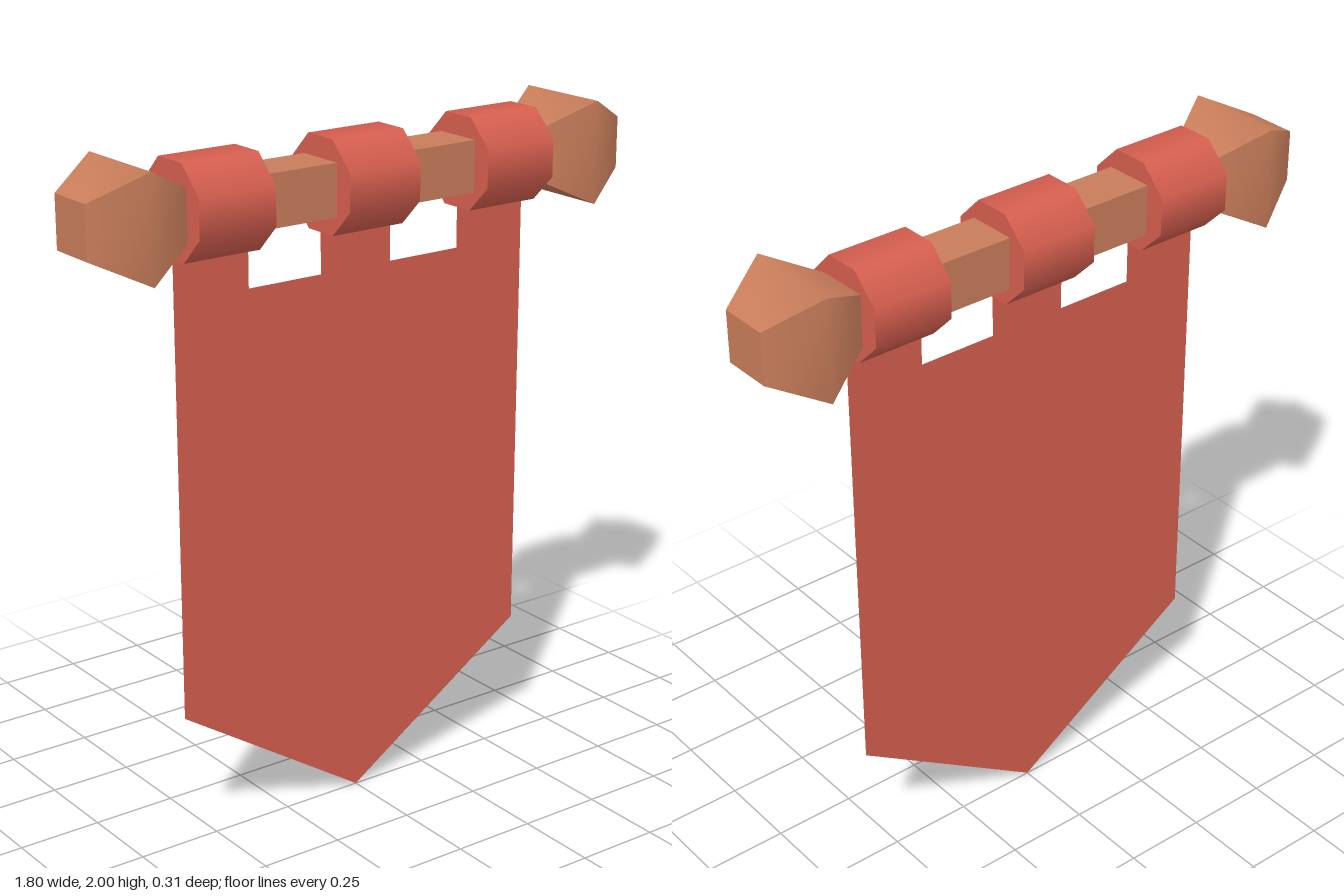
import * as THREE from 'three';
import { toCreasedNormals } from 'three/addons/utils/BufferGeometryUtils.js';

const POLE_Y = 1.85;

export function createModel() {
  const group = new THREE.Group();
  group.name = 'hangingBanner';

  const cloth = new THREE.MeshStandardMaterial({ color: 0xd65f4f, side: THREE.DoubleSide });
  cloth.name = 'red cloth';
  const wood = new THREE.MeshStandardMaterial({ color: 0xc87d5a });
  wood.name = 'brown wood';

  const add = (name, geometry, material, x, y) => {
    const mesh = new THREE.Mesh(geometry, material);
    mesh.name = name;
    mesh.position.set(x, y, 0);
    group.add(mesh);
  };

  // Square pole
  add('pole', new THREE.BoxGeometry(1.22, 0.15, 0.15), wood, 0, POLE_Y);

  // Square finials that swell in the middle
  const finialProfile = [[0, -0.15], [0.075, -0.15], [0.15, 0], [0.075, 0.15], [0, 0.15]]
    .map(([half, along]) => new THREE.Vector2(half * Math.SQRT2, along));
  const finial = toCreasedNormals(
    new THREE.LatheGeometry(finialProfile, 4, Math.PI / 4).rotateZ(-Math.PI / 2), Math.PI / 3);
  add('leftFinial', finial, wood, 0.75, POLE_Y);
  add('rightFinial', finial, wood, -0.75, POLE_Y);

  // Octagonal cloth loops around the pole
  const radius = 0.133 / Math.cos(Math.PI / 8);
  const loop = new THREE.CylinderGeometry(radius, radius, 0.24, 8, 1, false, Math.PI / 8)
    .rotateZ(-Math.PI / 2);
  [['rightLoop', -0.48], ['middleLoop', 0], ['leftLoop', 0.48]]
    .forEach(([name, x]) => add(name, loop, cloth, x, POLE_Y + 0.002));

  // Pointed cloth sheet with three tabs reaching up into the loops
  const outline = [
    [0, 0], [0.6, 0.39], [0.6, 1.75], [0.36, 1.75], [0.36, 1.6], [0.12, 1.6], [0.12, 1.75],
    [-0.12, 1.75], [-0.12, 1.6], [-0.36, 1.6], [-0.36, 1.75], [-0.6, 1.75], [-0.6, 0.39],
  ].map(([x, y]) => new THREE.Vector2(x, y));
  add('bannerSheet', new THREE.ShapeGeometry(new THREE.Shape(outline)), cloth, 0, 0);

  // The banner hangs very slightly turned
  group.rotation.y = 0.007;
  return group;
}
